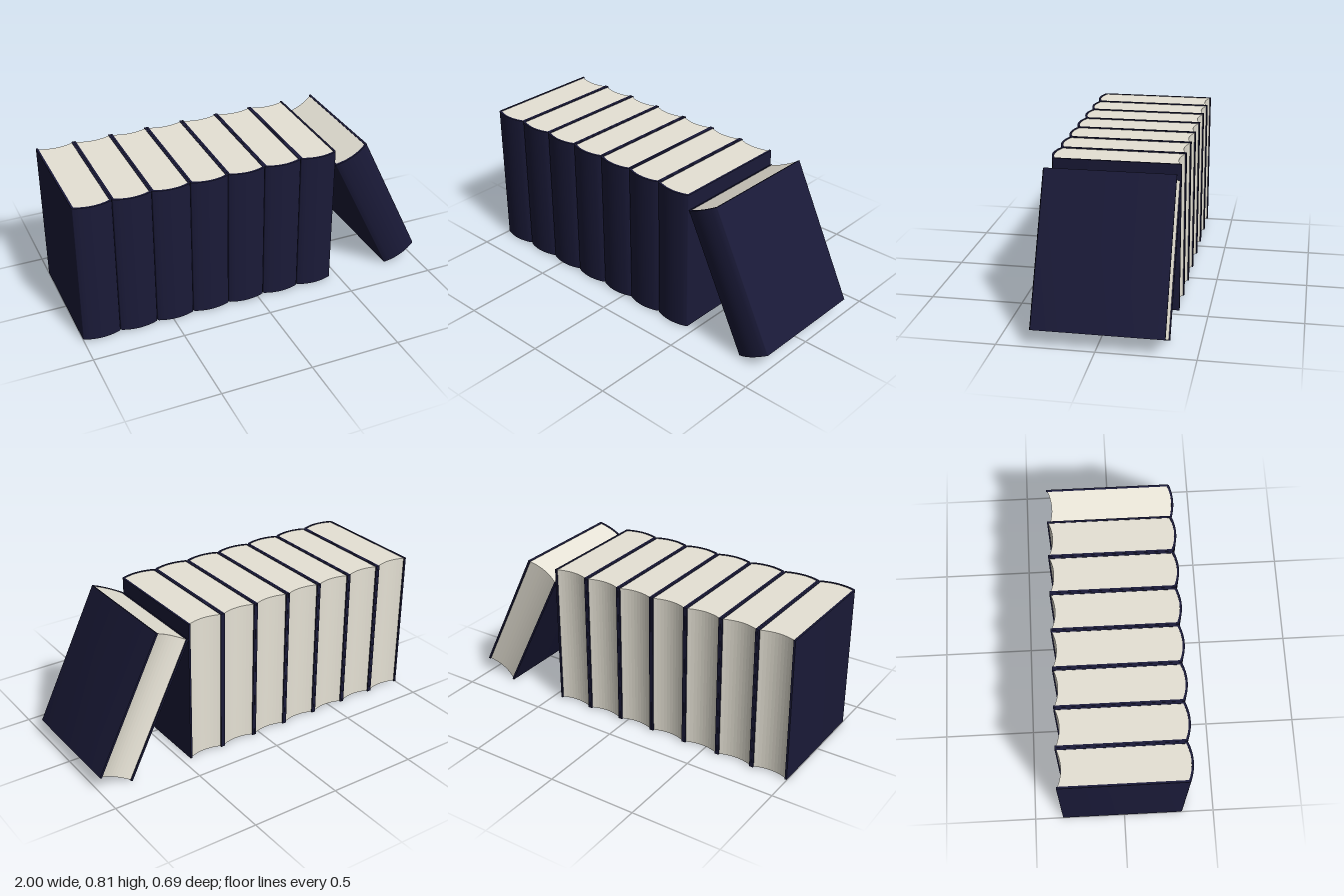
import * as THREE from 'three';
import { toCreasedNormals } from 'three/addons/utils/BufferGeometryUtils.js';

const WIDTH = 0.207, HEIGHT = 0.805, DEPTH = 0.69, BOARD = 0.011;
const W = WIDTH / 2, D = DEPTH / 2;

const coverMaterial = new THREE.MeshStandardMaterial({ color: 0x1a1a38 });
const pageMaterial = new THREE.MeshStandardMaterial({ color: 0xe6e2d5 });

// Extrudes a plan outline (x, -z) upwards, centred on y = 0
function extrudeUp(shape, height, curveSegments) {
  const geometry = new THREE.ExtrudeGeometry(shape, { depth: height, bevelEnabled: false, curveSegments });
  geometry.translate(0, 0, -height / 2);
  geometry.rotateX(-Math.PI / 2);
  return geometry;
}

// U-shaped cover: two boards joined by a rounded spine
function coverGeometry() {
  const inner = W - BOARD;
  const s = new THREE.Shape();
  s.moveTo(-W, D);
  s.lineTo(-W, -0.312);
  s.quadraticCurveTo(-W, -0.325, -W + 0.012, -0.328);
  s.quadraticCurveTo(0, -0.362, W - 0.012, -0.328);
  s.quadraticCurveTo(W, -0.325, W, -0.312);
  s.lineTo(W, D);
  s.lineTo(inner, D);
  s.lineTo(inner, -0.314);
  s.quadraticCurveTo(0, -0.354, -inner, -0.314);
  s.lineTo(-inner, D);
  s.closePath();
  return toCreasedNormals(extrudeUp(s, HEIGHT, 10), 0.6);
}

// Page block: convex towards the spine, hollow at the fore edge
function pagesGeometry() {
  const w = W - BOARD;
  const s = new THREE.Shape();
  s.moveTo(-w, 0.338);
  s.lineTo(-w, -0.314);
  s.quadraticCurveTo(0, -0.354, w, -0.314);
  s.lineTo(w, 0.338);
  s.quadraticCurveTo(0, 0.3, -w, 0.338);
  return extrudeUp(s, HEIGHT - 0.006, 10);
}

export function createModel() {
  const model = new THREE.Group();
  model.name = 'bookRow';
  const coverGeo = coverGeometry();
  const pagesGeo = pagesGeometry();

  function addBook(name, x, y, tilt = 0) {
    const book = new THREE.Group();
    book.name = name;
    const cover = new THREE.Mesh(coverGeo, coverMaterial);
    cover.name = 'cover';
    const pages = new THREE.Mesh(pagesGeo, pageMaterial);
    pages.name = 'pages';
    book.add(cover, pages);
    book.position.set(x, y, 0);
    book.rotation.z = tilt;
    model.add(book);
  }

  // Seven upright books side by side
  for (let i = 0; i < 7; i++) addBook(`uprightBook${i + 1}`, -1 + W + i * 0.208, HEIGHT / 2 + 0.003);

  // One book leaning against the end of the row
  addBook('leaningBook', 0.727, 0.407, THREE.MathUtils.degToRad(26.3));

  return model;
}
